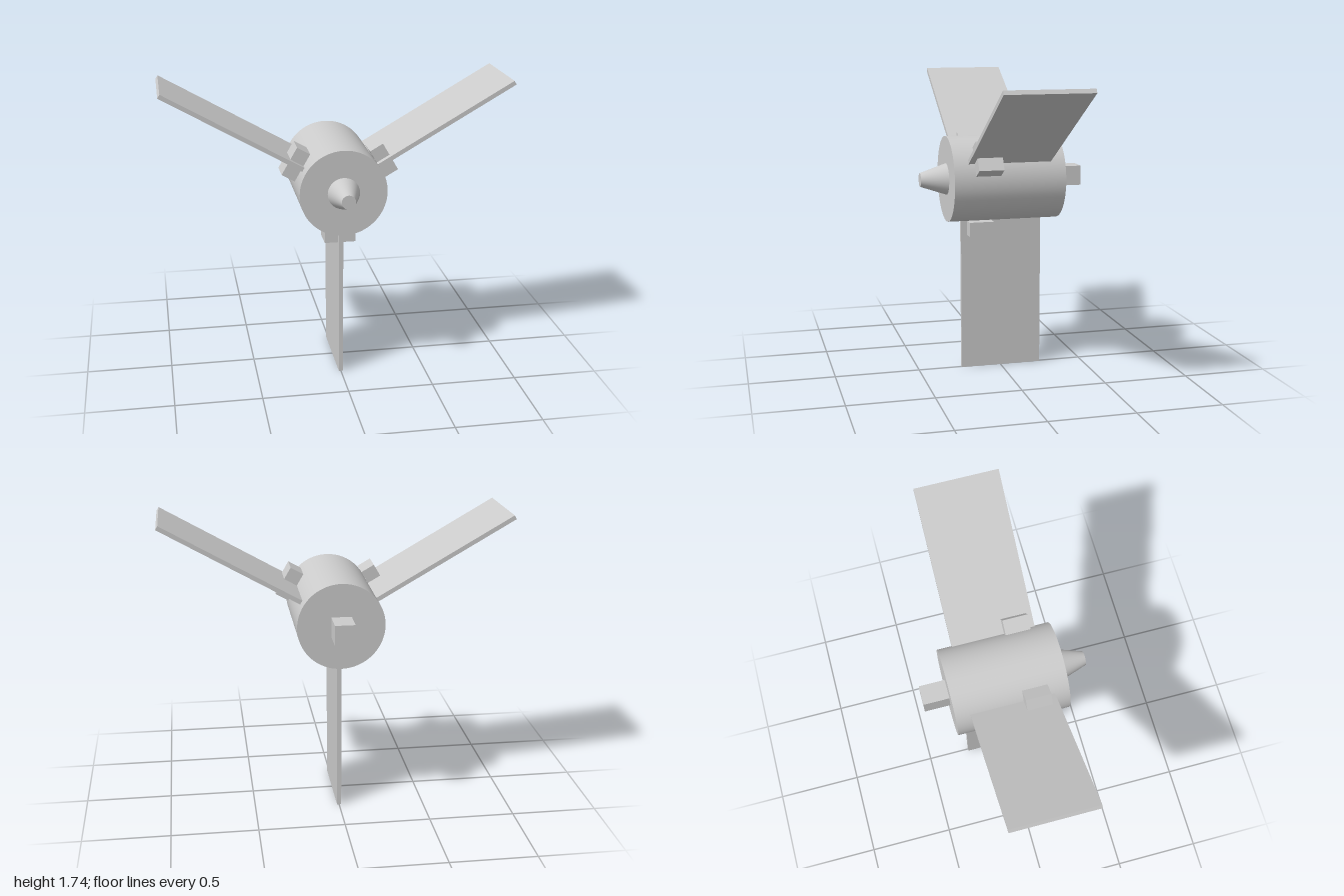
import * as THREE from 'three';

export function createModel() {
  const model = new THREE.Group();
  const material = new THREE.MeshStandardMaterial({ color: 0xcccccc });
  const hubHeight = 1.15;

  const add = (parent, name, geometry, x, y, z) => {
    const mesh = new THREE.Mesh(geometry, material);
    mesh.name = name;
    mesh.position.set(x, y, z);
    parent.add(mesh);
    return mesh;
  };

  // Everything turns about the hub axis, which runs along z
  const rotor = new THREE.Group();
  rotor.name = 'rotor';
  rotor.position.y = hubHeight;
  model.add(rotor);

  // Hub drum, tapered nose and square rear shaft
  add(rotor, 'hub', new THREE.CylinderGeometry(0.25, 0.25, 0.655, 64).rotateX(Math.PI / 2), 0, 0, -0.0025);
  add(rotor, 'noseCone', new THREE.CylinderGeometry(0.04, 0.092, 0.155, 48).rotateX(Math.PI / 2), 0, 0, 0.4025);
  add(rotor, 'rearShaft', new THREE.BoxGeometry(0.115, 0.115, 0.15), 0, 0, -0.405);

  // Three flat blades, each clamped by a pair of blocks
  for (let i = 0; i < 3; i++) {
    const arm = new THREE.Group();
    arm.name = 'bladeArm';
    arm.rotation.z = (i * Math.PI * 2) / 3;
    rotor.add(arm);
    add(arm, 'blade', new THREE.BoxGeometry(0.025, 0.905, 0.485), 0, -0.6975, -0.0025);
    for (const side of [-1, 1]) {
      add(arm, 'clampBlock', new THREE.BoxGeometry(0.0775, 0.085, 0.145), side * 0.05125, -0.2925, 0.1325);
    }
  }
  return model;
}
